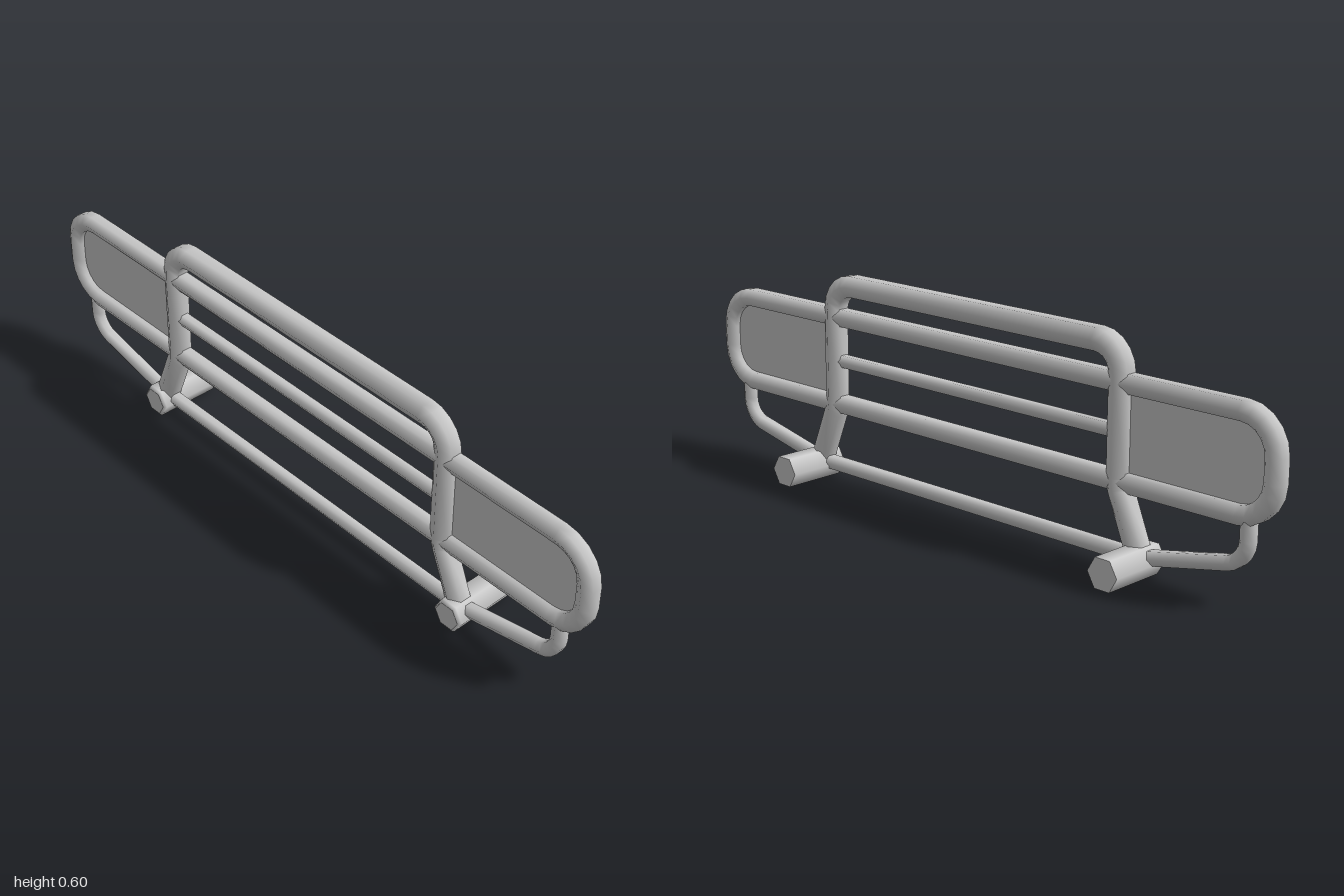
import * as THREE from 'three';

const SIDES = 6;      // hexagonal tubes, smooth shaded
const Z = 0.048;      // plane of the tube frame
const material = new THREE.MeshStandardMaterial({ color: 0xcccccc, side: THREE.DoubleSide });

// Corner points [x, y, setback] -> list of points with rounded corners
function rounded(corners, closed = false, steps = 5) {
  const pts = [], n = corners.length;
  corners.forEach(([x, y, d = 0], i) => {
    const c = new THREE.Vector2(x, y);
    if (!d || (!closed && (i === 0 || i === n - 1))) return pts.push(c);
    const toward = (k) => {
      const q = corners[(k + n) % n];
      return new THREE.Vector2(q[0], q[1]).sub(c).normalize();
    };
    const a = toward(i - 1), b = toward(i + 1);
    const at = (dir, s) => c.clone().addScaledVector(dir, s);
    const bend = new THREE.CubicBezierCurve(at(a, d), at(a, d * 0.45), at(b, d * 0.45), at(b, d));
    pts.push(...bend.getPoints(steps));
  });
  return pts;
}

// Mitred hexagonal tube swept along points in the frame plane
function tube(name, pts, r, closed = false) {
  const n = pts.length, pos = [], index = [];
  pts.forEach((p, i) => {
    const prev = closed || i > 0 ? pts[(i - 1 + n) % n] : null;
    const next = closed || i < n - 1 ? pts[(i + 1) % n] : null;
    const tIn = (prev ? p.clone().sub(prev) : next.clone().sub(p)).normalize();
    const tOut = (next ? next.clone().sub(p) : p.clone().sub(prev)).normalize();
    const t = tIn.clone().add(tOut).normalize();
    const w = r / t.dot(tIn);
    for (let j = 0; j < SIDES; j++) {
      const a = (j + 0.5) / SIDES * Math.PI * 2;
      pos.push(p.x - t.y * w * Math.cos(a), p.y + t.x * w * Math.cos(a), Z + r * Math.sin(a));
    }
  });
  for (let i = 0; i < (closed ? n : n - 1); i++) {
    for (let j = 0; j < SIDES; j++) {
      const k = (j + 1) % SIDES, m = (i + 1) % n;
      const a = i * SIDES + j, b = i * SIDES + k, c = m * SIDES + j, d = m * SIDES + k;
      index.push(a, b, c, b, d, c);
    }
  }
  const geo = new THREE.BufferGeometry();
  geo.setAttribute('position', new THREE.Float32BufferAttribute(pos, 3));
  geo.setIndex(index);
  geo.computeVertexNormals();
  return named(name, geo);
}

function named(name, geo) {
  const mesh = new THREE.Mesh(geo, material);
  mesh.name = name;
  return mesh;
}

export function createModel() {
  const group = new THREE.Group();
  group.name = 'bullBar';

  // Tall central hoop with splayed legs
  group.add(tube('centreHoop', rounded([
    [-0.588, 0.045], [-0.517, 0.22, 0.02], [-0.517, 0.575, 0.075],
    [0.517, 0.575, 0.075], [0.517, 0.22, 0.02], [0.588, 0.045],
  ]), 0.034));

  // Wide loop running around both lamp guards
  group.add(tube('wideLoop', rounded([
    [-0.974, 0.23, 0.095], [0.974, 0.23, 0.095],
    [0.974, 0.48, 0.095], [-0.974, 0.48, 0.095],
  ], true), 0.0285, true));

  // Straight cross bars
  group.add(tube('middleBar', rounded([[-0.517, 0.355], [0.517, 0.355]]), 0.02));
  group.add(tube('lowerBar', rounded([[-0.588, 0.048], [0.588, 0.048]]), 0.0215));

  for (const [s, side] of [[1, 'left'], [-1, 'right']]) {
    // Bent brace from the mount up to the wide loop
    group.add(tube(side + 'Brace', rounded([
      [s * 0.588, 0.048], [s * 0.906, 0.115, 0.055], [s * 0.906, 0.23],
    ]), 0.0215));

    // Thin infill panel
    const outline = rounded([
      [s * 0.517, 0.23], [s * 0.974, 0.23, 0.095], [s * 0.974, 0.48, 0.095], [s * 0.517, 0.48],
    ]);
    const panel = named(side + 'Panel', new THREE.ShapeGeometry(new THREE.Shape(outline)));
    panel.position.z = Z;
    group.add(panel);

    // Hexagonal mounting stub with a softened front rim
    const mount = new THREE.Group();
    mount.name = side + 'Mount';
    const r = 0.0465;
    const profile = [[r, -0.096], [r, 0.088], [r - 0.003, 0.094], [r - 0.008, 0.096]]
      .map(([x, y]) => new THREE.Vector2(x, y));
    const body = named(side + 'MountBody', new THREE.LatheGeometry(profile, SIDES, Math.PI / 2));
    const front = named(side + 'MountFront', new THREE.CircleGeometry(r - 0.008, SIDES));
    const back = named(side + 'MountBack', new THREE.CircleGeometry(r, SIDES));
    body.rotation.x = Math.PI / 2;
    front.position.z = 0.096;
    back.position.z = -0.096;
    back.rotation.y = Math.PI;
    mount.add(body, front, back);
    mount.position.set(s * 0.588, 0.0403, 0);
    group.add(mount);
  }
  return group;
}
